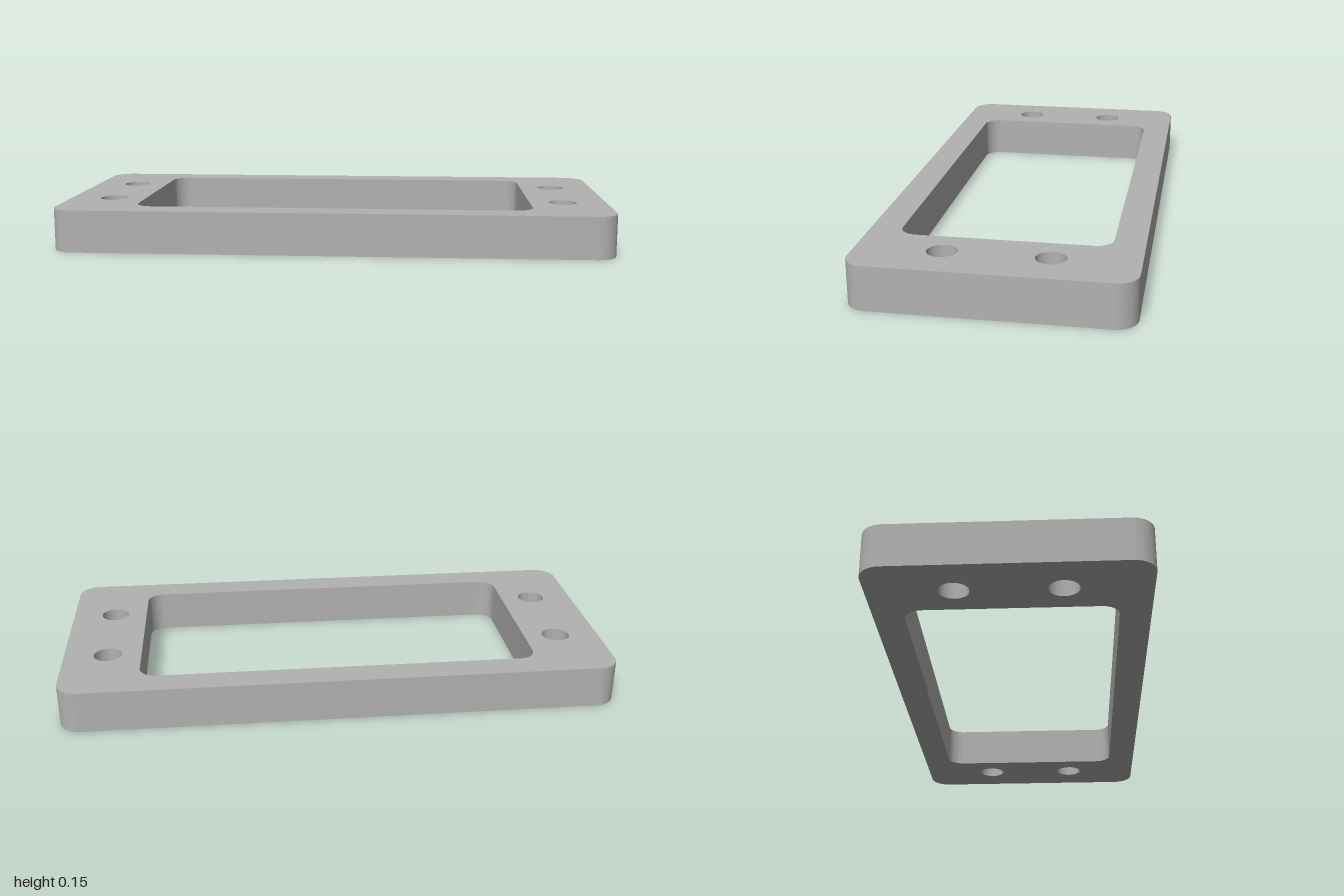
import * as THREE from 'three';
import { toCreasedNormals } from 'three/addons/utils/BufferGeometryUtils.js';

const HEIGHT = 0.152;

// Traces a rounded rectangle, centred on the origin, into a Shape or Path
function roundedRect(path, halfW, halfD, r) {
  const q = Math.PI / 2;
  path.moveTo(halfW, -halfD + r);
  path.absarc(halfW - r, halfD - r, r, 0, q);
  path.absarc(-halfW + r, halfD - r, r, q, 2 * q);
  path.absarc(-halfW + r, -halfD + r, r, 2 * q, 3 * q);
  path.absarc(halfW - r, -halfD + r, r, 3 * q, 4 * q);
  path.closePath();
  return path;
}

export function createModel() {
  const grey = new THREE.MeshStandardMaterial({ color: 0xb2b2b2 });
  grey.name = 'grey plastic';

  // Outline with the central window
  const outline = roundedRect(new THREE.Shape(), 1, 0.4625, 0.075);
  outline.holes.push(roundedRect(new THREE.Path(), 0.718, 0.357, 0.06));

  // Two screw holes at each end
  for (const x of [-0.84, 0.84]) {
    for (const z of [-0.176, 0.176]) {
      outline.holes.push(new THREE.Path().absarc(x, z, 0.051, 0, Math.PI * 2));
    }
  }

  // Extrude upwards; smooth round the corners, sharp at the rims
  const solid = new THREE.ExtrudeGeometry(outline, {
    depth: HEIGHT, bevelEnabled: false, curveSegments: 16,
  });
  solid.rotateX(-Math.PI / 2);
  solid.clearGroups();

  const frame = new THREE.Mesh(toCreasedNormals(solid, 0.5), grey);
  frame.name = 'mountingFrame';

  const model = new THREE.Group();
  model.name = 'rectangularMountingRing';
  model.add(frame);
  return model;
}
